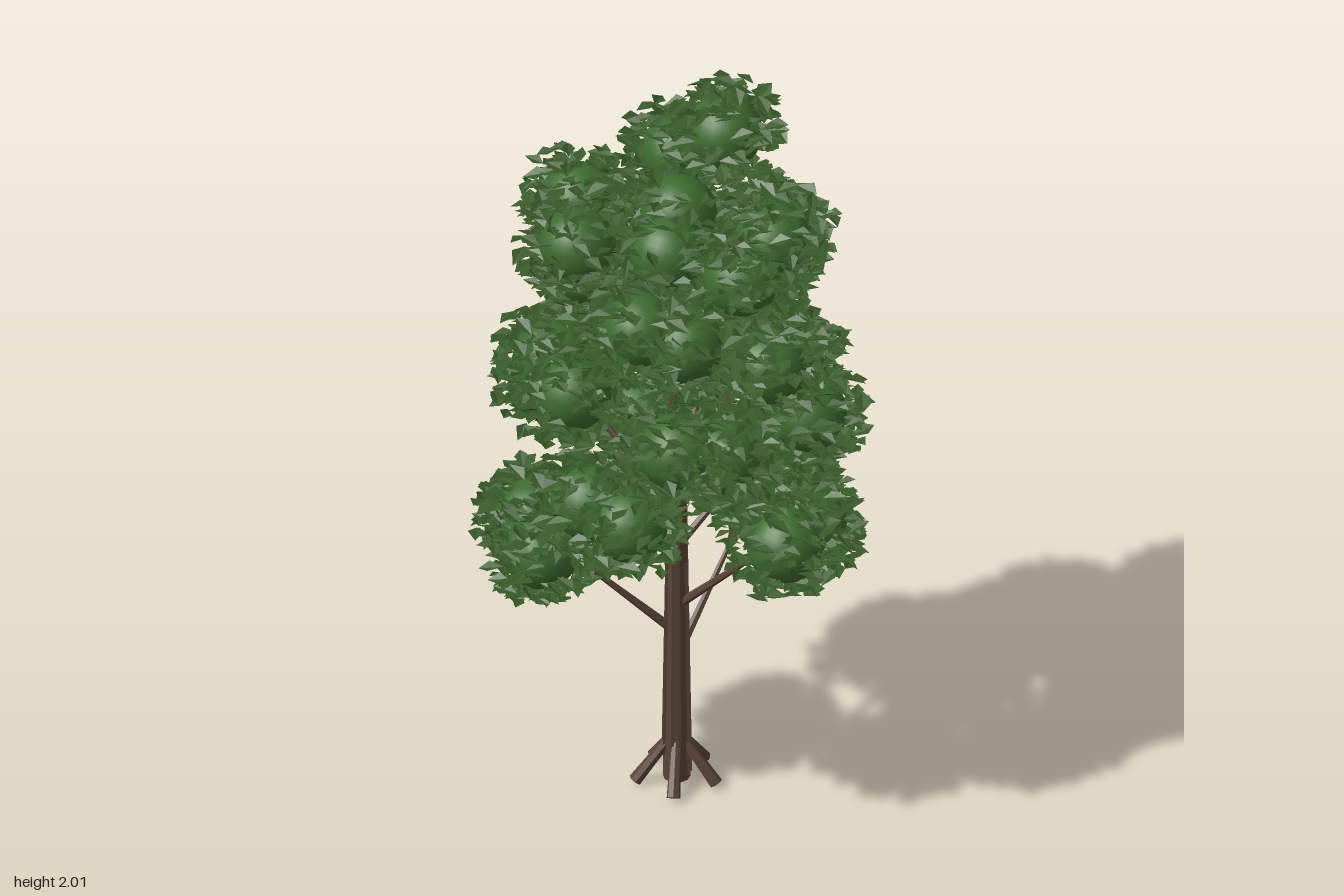
import * as THREE from 'three';
import { mergeGeometries } from 'three/addons/utils/BufferGeometryUtils.js';

const bark = new THREE.MeshStandardMaterial({ color: 0x5a4537, flatShading: true });
const coreGreen = new THREE.MeshStandardMaterial({ color: 0x3d6b2f });
const leafGreen = new THREE.MeshStandardMaterial({ color: 0x385a29, flatShading: true, side: THREE.DoubleSide });

// Small seeded generator
let seed = 7;
const rand = () => {
  seed = (seed * 1664525 + 1013904223) % 4294967296;
  return seed / 4294967296;
};
const spread = (a) => (rand() * 2 - 1) * a;
const V = (x, y, z) => new THREE.Vector3(x, y, z);

// Tapered cylinder between two points
function limb(a, b, ra, rb, sides = 6) {
  const dir = b.clone().sub(a);
  const g = new THREE.CylinderGeometry(rb, ra, dir.length(), sides);
  g.applyQuaternion(new THREE.Quaternion().setFromUnitVectors(V(0, 1, 0), dir.normalize()));
  const mid = a.clone().add(b).multiplyScalar(0.5);
  return g.translate(mid.x, mid.y, mid.z);
}

function addMesh(parent, name, geometry, material) {
  const m = new THREE.Mesh(geometry, material);
  m.name = name;
  parent.add(m);
}

// Loose shell of folded, mostly level leaves around a centre
function leafShell(center, radius, count) {
  const pos = [];
  const q = new THREE.Quaternion();
  const e = new THREE.Euler();
  for (let i = 0; i < count; i++) {
    const h = spread(1);
    const a = rand() * Math.PI * 2;
    const s = Math.sqrt(1 - h * h);
    const r = radius * (0.68 + 0.32 * rand());
    const p = V(Math.cos(a) * s * r, h * r, Math.sin(a) * s * r).add(center);
    const len = 0.052 + rand() * 0.02;
    const w = len * 0.32;
    q.setFromEuler(e.set(spread(0.35), rand() * Math.PI * 2, spread(0.35), 'YXZ'));
    const [base, left, tip, right] = [
      V(-len / 2, 0, 0), V(-len * 0.08, 0.005, w), V(len / 2, -0.004, 0), V(-len * 0.08, 0.005, -w),
    ].map((v) => v.applyQuaternion(q).add(p));
    for (const v of [base, left, tip, base, tip, right]) pos.push(v.x, v.y, v.z);
  }
  const g = new THREE.BufferGeometry();
  g.setAttribute('position', new THREE.Float32BufferAttribute(pos, 3));
  g.computeVertexNormals();
  return g;
}

// Foliage cluster: green cores wrapped in leaves
function foliage(name, centers, leaves) {
  const g = new THREE.Group();
  g.name = name;
  const cores = centers.map((c) => new THREE.SphereGeometry(0.1, 20, 14).translate(c.x, c.y, c.z));
  addMesh(g, name + 'Core', mergeGeometries(cores), coreGreen);
  addMesh(g, name + 'Leaves', mergeGeometries(centers.map((c) => leafShell(c, 0.155, leaves))), leafGreen);
  return g;
}

// Cluster middles and tilts, climbing the trunk in a golden-angle spiral
const clusters = [
  [0.35, 0.725, -0.02, 0.015], [-0.29, 0.8, -0.235, 0.015], [0.05, 0.88, 0.355, 0],
  [0.22, 0.93, -0.25, 0.015], [-0.35, 1.02, 0.06, 0.015], [0.31, 1.05, 0.14, 0.015],
  [-0.05, 1.14, -0.35, 0.015], [-0.22, 1.22, 0.255, 0.015], [0.32, 1.26, -0.11, 0.015],
  [-0.31, 1.35, -0.13, 0.02], [0.06, 1.38, 0.285, 0.02], [0.05, 1.475, -0.3, 0.02],
  [-0.265, 1.57, 0.17, 0.02], [0.23, 1.62, 0.1, 0.02], [-0.17, 1.72, -0.2, 0.03],
  [-0.02, 1.735, 0.28, -0.03], [0.22, 1.81, -0.11, 0.04],
];

export function createModel() {
  const tree = new THREE.Group();
  tree.name = 'tree';
  const axis = -0.01;
  const trunkRadius = (y) => 0.036 - 0.014 * y;

  // Trunk in stacked, slightly overlapping tapered sections
  const sections = [];
  const levels = [0.01, 0.3, 0.6, 0.9, 1.2, 1.45, 1.68];
  for (let i = 0; i < levels.length - 1; i++) {
    const [y0, y1] = [levels[i], levels[i + 1]];
    sections.push(limb(V(axis, y0, 0), V(axis, y1 + 0.01, 0), trunkRadius(y0), trunkRadius(y1) - 0.001, 10));
  }
  addMesh(tree, 'trunk', mergeGeometries(sections), bark);

  // Raised bark strips running up the trunk
  const strips = [];
  for (let i = 0; i < 9; i++) {
    const a = (i / 9) * Math.PI * 2 + spread(0.15);
    const y0 = 0.02 + rand() * 0.08;
    const y1 = 0.65 + rand() * 0.35;
    const at = (y) => V(axis + Math.cos(a) * trunkRadius(y), y, Math.sin(a) * trunkRadius(y));
    strips.push(limb(at(y0), at(y1), 0.006, 0.004, 4));
  }
  addMesh(tree, 'barkStrips', mergeGeometries(strips), bark);

  // Splayed roots
  const roots = [];
  for (let i = 0; i < 5; i++) {
    const a = (i / 5) * Math.PI * 2;
    const [c, s] = [Math.cos(a), Math.sin(a)];
    roots.push(limb(V(axis + c * 0.11, 0.012, s * 0.11), V(axis + c * 0.018, 0.13, s * 0.018), 0.018, 0.013, 7));
  }
  addMesh(tree, 'roots', mergeGeometries(roots), bark);

  // Branches, each forking into a double cluster set across its direction
  clusters.forEach(([x, y, z, tilt], i) => {
    const t = i / (clusters.length - 1);
    const out = V(x - axis, 0, z);
    const reach = out.length();
    out.normalize();
    const offset = V(-out.z * 0.06, tilt, out.x * 0.06);
    const at = (radius, height) => V(axis + out.x * radius, height, out.z * radius);
    const start = at(0.01, y - 0.34 + 0.05 * t);
    const fork = at(reach * 0.6, y - 0.13);
    const ends = [at(reach, y).add(offset), at(reach, y).sub(offset)];

    const branch = [limb(start, fork, 0.013 - 0.004 * t, 0.007)];
    for (const end of [...ends, at(reach + 0.03, y)]) branch.push(limb(fork, end, 0.006, 0.003, 5));
    addMesh(tree, 'branch' + (i + 1), mergeGeometries(branch), bark);
    tree.add(foliage('foliage' + (i + 1), ends, 210));
  });

  // Crown over the trunk tip
  tree.add(foliage('crownFoliage', [V(0.01, 1.74, -0.01), V(-0.08, 1.68, 0.03)], 80));
  return tree;
}
